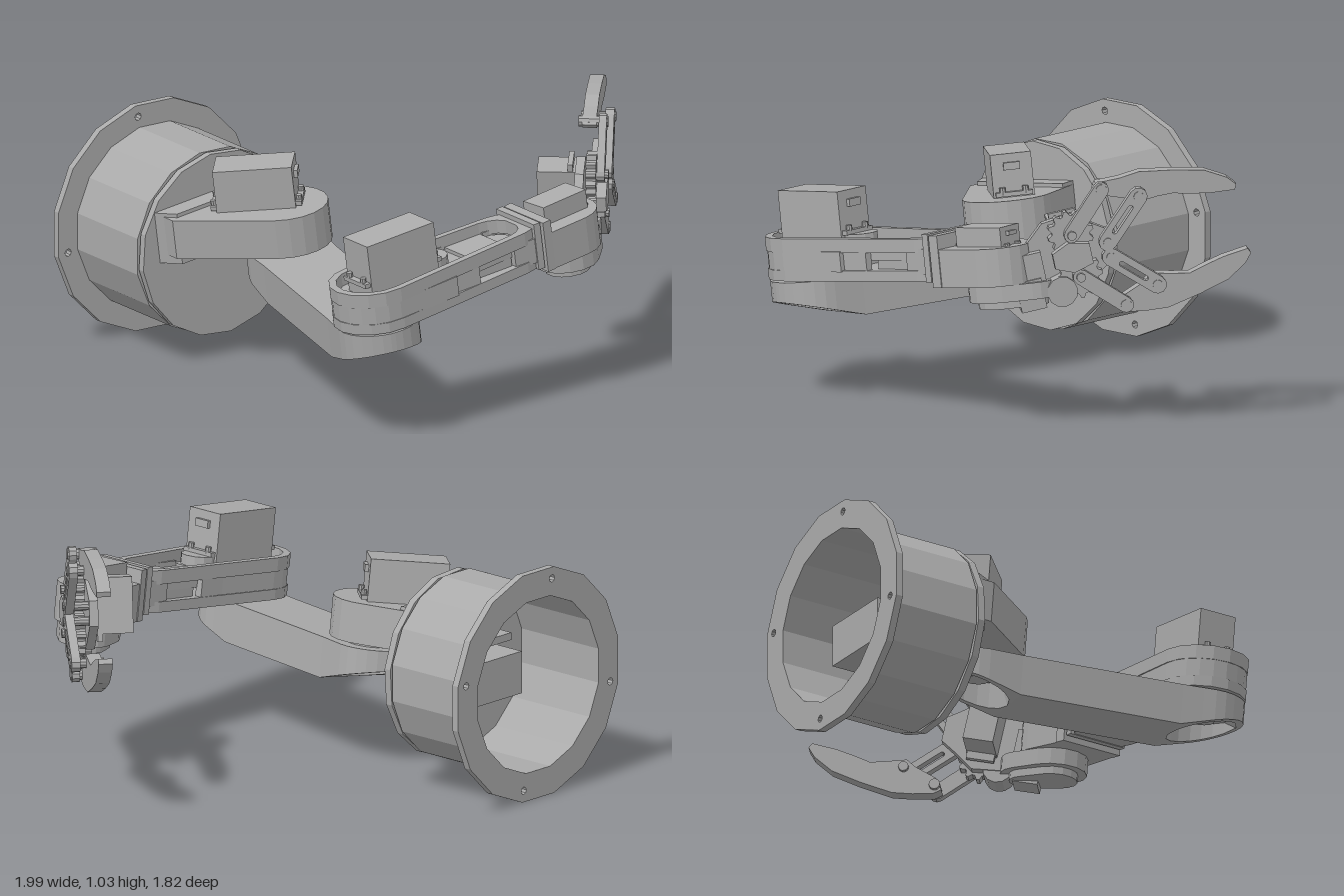
import * as THREE from 'three';

const mat = new THREE.MeshStandardMaterial({ color: 0xaaaaaa, flatShading: true, side: THREE.DoubleSide });
const V2 = (x, y) => new THREE.Vector2(x, y);

function add(parent, name, geo, x = 0, y = 0, z = 0) {
  const m = new THREE.Mesh(geo, mat);
  m.name = name;
  m.position.set(x, y, z);
  parent.add(m);
  return m;
}
const box = (p, name, w, h, d, x, y, z) => add(p, name, new THREE.BoxGeometry(w, h, d), x, y, z);

// Points on an arc, used for outlines
function arc(x, y, r, a0, a1, n = 8) {
  return Array.from({ length: n + 1 }, (_, i) => {
    const a = a0 + (a1 - a0) * i / n;
    return V2(x + r * Math.cos(a), y + r * Math.sin(a));
  });
}

// Outline of a belt around two circles
function belt(x0, y0, r0, x1, y1, r1, n = 8) {
  const d = Math.atan2(y1 - y0, x1 - x0);
  const h = Math.acos((r0 - r1) / Math.hypot(x1 - x0, y1 - y0));
  return [...arc(x1, y1, r1, d - h, d + h, n), ...arc(x0, y0, r0, d + h, d + 2 * Math.PI - h, n)];
}

function extrude(points, depth, holes = []) {
  const s = new THREE.Shape(points);
  s.holes = holes.map(h => new THREE.Path(h));
  return new THREE.ExtrudeGeometry(s, { depth, bevelEnabled: false });
}

// Horizontal slab with a plan outline in x, z
function slab(p, name, points, y0, y1, holes) {
  return add(p, name, extrude(points, y1 - y0, holes).rotateX(Math.PI / 2), 0, y1, 0);
}

// Sections lofted along x: [x, halfWidth, bottom, top, recessHalfWidth, recessRoof]
function loft(sections) {
  const pos = [], idx = [], n = 8;
  for (const [x, w, b, t, wi, bi] of sections)
    pos.push(x, t, -w, x, b, -w, x, b, -wi, x, bi, -wi, x, bi, wi, x, b, wi, x, b, w, x, t, w);
  const last = (sections.length - 1) * n;
  for (let i = 0; i < last; i += n) for (let j = 0; j < n; j++) {
    const a = i + j, b = i + (j + 1) % n;
    idx.push(a, a + n, b, b, a + n, b + n);
  }
  for (const e of [0, last]) idx.push(e, e + 1, e + 6, e, e + 6, e + 7);
  const g = new THREE.BufferGeometry();
  g.setAttribute('position', new THREE.Float32BufferAttribute(pos, 3));
  g.setIndex(idx);
  const out = g.toNonIndexed();
  out.computeVertexNormals();
  return out;
}

// Servo standing upright, with mounting tabs, horn and cable plug
function servo(p, name, l, h, w, x, y, z, turn = 0) {
  const g = new THREE.Group();
  g.name = name;
  g.position.set(x, y, z);
  g.rotation.y = turn;
  box(g, 'servoBody', l, h, w, 0, h / 2, 0);
  box(g, 'servoTabs', l * 1.15, h * 0.07, w * 0.9, 0, h * 0.35, 0);
  box(g, 'servoPlug', 0.02, h * 0.12, w * 0.4, l / 2 + 0.005, h * 0.8, 0);
  for (const sx of [-1, 1]) for (const sz of [-1, 1])
    add(g, 'servoScrew', new THREE.CylinderGeometry(0.012, 0.012, 0.03, 8), sx * l * 0.54, h * 0.4, sz * w * 0.28);
  add(g, 'servoHorn', new THREE.CylinderGeometry(w * 0.35, w * 0.35, 0.04, 12), l * 0.25, -0.02, 0);
  p.add(g);
}

function buildBase(root) {
  const base = new THREE.Group();
  base.name = 'base';
  base.position.set(-0.54, 0.46, 0);
  const k = Math.PI / 16;
  // Open flange with bolt holes
  const bolts = [1.76, 3.33, 4.91, 0.2].map(a => arc(0.42 * Math.cos(a), 0.42 * Math.sin(a), 0.015, 0, 2 * Math.PI, 8));
  add(base, 'flange', extrude(arc(0, 0, 0.467, k, k + 2 * Math.PI, 16), 0.03, [arc(0, 0, 0.352, k, k + 2 * Math.PI, 16), ...bolts]), 0, 0, -0.91);
  // Hollow drum, closed at the front
  const profile = [V2(0.352, -0.9), V2(0.375, -0.88), V2(0.375, -0.48), V2(0.001, -0.48), V2(0.001, -0.505), V2(0.352, -0.505), V2(0.352, -0.9)];
  add(base, 'drum', new THREE.LatheGeometry(profile, 16, k).rotateX(Math.PI / 2));
  box(base, 'baseServo', 0.32, 0.17, 0.24, 0.08, 0, -0.63);
  box(base, 'baseServoTabs', 0.42, 0.15, 0.025, 0.08, 0, -0.56);
  for (const s of [-1, 1]) box(base, 'servoRail', 0.44, 0.03, 0.14, 0.08, s * 0.11, -0.57);
  root.add(base);
}

function buildArm(root) {
  const arm = new THREE.Group();
  arm.name = 'arm';
  arm.position.set(-0.54, 0.46, 0);
  arm.rotation.z = 0.133;
  // Turntable and shoulder
  add(arm, 'turntable', new THREE.CylinderGeometry(0.372, 0.372, 0.03, 16).rotateX(Math.PI / 2), 0, 0, -0.455);
  add(arm, 'turntableHub', new THREE.CylinderGeometry(0.08, 0.08, 0.1, 12).rotateX(Math.PI / 2), 0, 0, -0.49);
  const plan = [V2(-0.27, -0.44), V2(0.2, -0.44), ...arc(0.12, -0.15, 0.175, -0.45, 2.4, 9), V2(-0.27, -0.35)];
  slab(arm, 'shoulderBracket', plan, 0.045, 0.205);
  slab(arm, 'shoulderFoot', [V2(-0.29, -0.44), V2(0.2, -0.44), V2(0.22, -0.36), V2(-0.24, -0.36)], 0.01, 0.22);
  servo(arm, 'shoulderServo', 0.31, 0.24, 0.16, 0.06, 0.135, -0.235, -0.72);
  box(arm, 'turntableBracket', 0.05, 0.1, 0.09, 0.16, -0.09, -0.385);
  box(arm, 'turntableBracketArm', 0.06, 0.04, 0.13, 0.16, -0.01, -0.375);
  add(arm, 'shoulderAxle', new THREE.CylinderGeometry(0.11, 0.11, 0.06, 12), 0.12, 0.03, -0.15);

  // Upper arm: rounded in plan, underside slanted towards both ends with a round recess in each
  const c = 0.465, r = 0.162, ri = 0.135;
  const halfLink = [0.33, 0.345, 0.375, 0.415].map(x => [x, 0.155 + (x - 0.33) * 0.05]);
  for (let i = 6; i >= 0; i--) {
    const a = i / 6 * Math.PI / 2;
    halfLink.push([c + r * Math.cos(a), Math.max(0.01, r * Math.sin(a))]);
  }
  const section = (x, w) => {
    const bottom = -0.135 + (Math.abs(x) - 0.33) * 0.28;
    const wi = Math.sqrt(Math.max(0, ri * ri - (Math.abs(x) - c) ** 2));
    return [x, w, bottom, 0.026, wi, wi > 0 ? -0.02 : bottom];
  };
  const sections = [...halfLink.map(([x, w]) => section(-x, w)).reverse(), ...halfLink.map(([x, w]) => section(x, w))];
  const link = add(arm, 'upperArm', loft(sections), 0.01, 0, 0.293);
  link.rotation.y = Math.atan2(-0.905, -0.22);
  for (const e of [-1, 1]) {
    const axle = new THREE.CylinderGeometry(0.05, 0.05, 0.04, 12);
    link.add(add(link, 'axleNut', axle, e * c, -0.035, 0));
  }
  add(arm, 'elbowAxle', new THREE.CylinderGeometry(0.11, 0.11, 0.04, 12), -0.1, 0.03, 0.74);

  // Forearm: floor, open frame above it, posts and inner servo
  const outer = belt(-0.1, 0.74, 0.17, 0.55, 0.715, 0.125).map(p => V2(Math.min(p.x, 0.64), p.y));
  const inner = belt(-0.1, 0.74, 0.14, 0.5, 0.715, 0.1).map(p => V2(Math.min(p.x, 0.59), p.y));
  slab(arm, 'forearmFloor', outer, 0.033, 0.075);
  slab(arm, 'forearmFrame', outer, 0.145, 0.2, [inner]);
  slab(arm, 'elbowShell', [...arc(-0.1, 0.74, 0.166, 1.5, 4.8, 10), V2(0.2, 0.585), V2(0.2, 0.885)], 0.07, 0.15);
  slab(arm, 'forearmDeck', inner, 0.11, 0.14);
  box(arm, 'forearmEnd', 0.03, 0.19, 0.25, 0.625, 0.125, 0.715);
  for (const s of [-1, 1]) {
    box(arm, 'forearmPost', 0.1, 0.1, 0.03, 0.56, 0.11, 0.715 + s * 0.105);
    box(arm, 'forearmRib', 0.12, 0.1, 0.03, 0.26, 0.11, 0.725 + s * 0.125);
  }
  box(arm, 'forearmInnerServo', 0.17, 0.1, 0.2, 0.42, 0.105, 0.715);
  servo(arm, 'elbowServo', 0.32, 0.25, 0.16, 0, 0.125, 0.745);
  add(arm, 'elbowCap', new THREE.CylinderGeometry(0.07, 0.07, 0.04, 12), 0.18, 0.185, 0.74);

  // Wrist
  slab(arm, 'wristHousing', [V2(0.65, 0.84), V2(0.65, 0.59), ...arc(0.85, 0.68, 0.14, -1.6, 1.45, 9)], 0.01, 0.16);
  slab(arm, 'wristRim', [V2(0.65, 0.845), V2(0.65, 0.585), V2(0.69, 0.575), V2(0.69, 0.84)], 0.01, 0.215);
  servo(arm, 'wristServo', 0.22, 0.135, 0.12, 0.82, 0.1, 0.69, 0.1);
  slab(arm, 'wristLink', belt(0.85, 0.68, 0.125, 0.95, 0.61, 0.1), -0.055, 0.01);
  slab(arm, 'wristLinkUnderside', belt(0.85, 0.68, 0.09, 0.94, 0.61, 0.07), -0.085, -0.05);
  root.add(arm);
}

function buildGripper(root) {
  const g = new THREE.Group();
  g.name = 'gripper';
  g.position.set(0.515, 0.7, 0.54);
  g.rotation.set(0, 0.878, 0.21, 'YZX');
  const flat = (name, pts, z0, z1, holes) => add(g, name, extrude(pts, z1 - z0, holes), 0, 0, z0);
  const pin = (x, y, z0, z1, rad) =>
    add(g, 'pin', new THREE.CylinderGeometry(rad, rad, z1 - z0, 10).rotateX(Math.PI / 2), x, y, (z0 + z1) / 2);

  // Palm plates, mount and servo
  const half = [[-0.15, 0.06], [-0.06, 0.14], [0.06, 0.15], [0.14, 0.09], [0.2, 0.05]];
  const palm = [...half.map(([x, y]) => V2(x, -y)), ...half.reverse().map(([x, y]) => V2(x, y))];
  flat('palmPlate', palm, -0.05, -0.015);
  flat('palmCover', [V2(-0.05, -0.03), V2(0.02, -0.06), V2(0.1, -0.04), V2(0.1, 0.04), V2(0.02, 0.06), V2(-0.05, 0.03)], 0.03, 0.07);
  box(g, 'gripperMount', 0.08, 0.16, 0.08, -0.13, -0.04, -0.02);
  box(g, 'gripperMountFoot', 0.1, 0.12, 0.09, -0.16, -0.12, -0.015);
  add(g, 'rollAxle', new THREE.CylinderGeometry(0.06, 0.06, 0.09, 12).rotateX(Math.PI / 2), -0.04, -0.13, 0);
  box(g, 'gripperServo', 0.12, 0.22, 0.15, 0.03, 0.02, -0.125);
  box(g, 'gripperServoTabs', 0.11, 0.28, 0.02, 0.03, 0.02, -0.07);

  // Mirrored gears, parallel bars and jaws
  for (const s of [1, -1]) {
    const at = (x, y) => V2(x, s * y);
    const gear = Array.from({ length: 48 }, (_, i) => {
      const rad = i % 4 < 2 ? 0.09 : 0.074, a = i / 48 * 2 * Math.PI;
      return at(0.04 + rad * Math.cos(a), 0.085 + rad * Math.sin(a));
    });
    flat('gear', gear, -0.01, 0.03);
    flat('innerBar', belt(0.04, s * 0.085, 0.03, 0.19, s * 0.235, 0.03, 5), 0.03, 0.06);
    const hole = belt(0.205, s * 0.066, 0.01, 0.285, s * 0.144, 0.01, 4);
    flat('outerBar', belt(0.17, s * 0.03, 0.035, 0.325, s * 0.18, 0.035, 5), 0.045, 0.08, [hole]);
    // The upper jaw has a flatter back than the lower one
    const d = s > 0 ? 0.03 : 0;
    flat('jaw', [at(0.16, 0.25 - d / 2), at(0.19, 0.272 - d / 2), at(0.27, 0.285 - d), at(0.35, 0.292 - d), at(0.48, 0.268 - d),
      at(0.6, 0.238 - d), at(0.68, 0.19 - d), at(0.71, 0.155 - d), at(0.7, 0.135 - d), at(0.6, 0.145 - d), at(0.53, 0.16 - d),
      at(0.46, 0.178 - d), at(0.4, 0.165 - d / 2), at(0.32, 0.145), at(0.28, 0.17), at(0.19, 0.205)], -0.035, 0.02);
    pin(0.04, s * 0.085, -0.05, 0.075, 0.018);
    pin(0.17, s * 0.03, -0.05, 0.085, 0.018);
    pin(0.19, s * 0.235, -0.05, 0.065, 0.022);
    pin(0.325, s * 0.18, -0.05, 0.085, 0.02);
  }
  root.add(g);
}

export function createModel() {
  const root = new THREE.Group();
  root.name = 'robotArm';
  buildBase(root);
  buildArm(root);
  buildGripper(root);
  return root;
}
